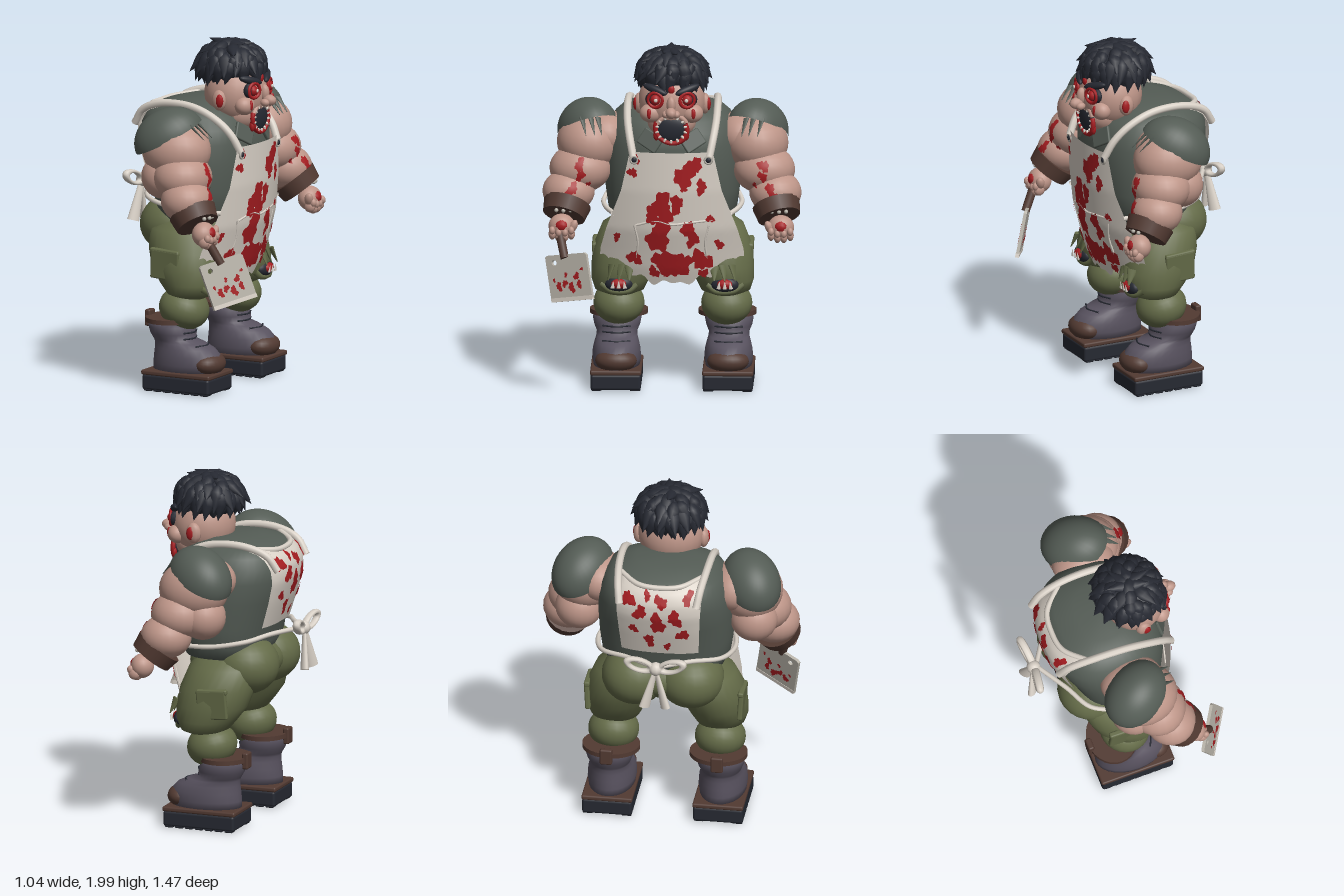
import * as THREE from 'three';
import { RoundedBoxGeometry } from 'three/addons/geometries/RoundedBoxGeometry.js';

const V = (x, y, z) => new THREE.Vector3(x, y, z);
const mat = (name, color, side = THREE.FrontSide) => Object.assign(new THREE.MeshStandardMaterial({ color, side }), { name });
let seed = 7;
const rnd = () => (seed = (seed * 16807) % 2147483647) / 2147483647;

// table lookup: rows are [y, ...values] with y rising
function lerpRows(rows, y) {
  let i = 0;
  while (i < rows.length - 2 && y > rows[i + 1][0]) i++;
  const t = THREE.MathUtils.clamp((y - rows[i][0]) / (rows[i + 1][0] - rows[i][0]), 0, 1);
  return rows[i].map((v, k) => v + (rows[i + 1][k] - v) * t);
}
function finish(p, idx) {
  const g = new THREE.BufferGeometry();
  g.setAttribute('position', new THREE.Float32BufferAttribute(p, 3));
  g.setIndex(idx);
  g.computeVertexNormals();
  return g;
}
// closed body from sections [y, centreX, radiusX, zBack, zFront]; e < 1 squares the ellipse
function loft(rows, seg = 28, e = 1) {
  const p = [], idx = [], n = rows.length, pow = c => Math.sign(c) * Math.abs(c) ** e;
  for (const [y, cx, rx, z0, z1] of rows)
    for (let j = 0; j < seg; j++) {
      const a = j / seg * Math.PI * 2;
      p.push(cx + rx * pow(Math.cos(a)), y, (z0 + z1) / 2 + (z1 - z0) / 2 * pow(Math.sin(a)));
    }
  for (const r of [rows[0], rows[n - 1]]) p.push(r[1], r[0], (r[3] + r[4]) / 2);
  for (let j = 0; j < seg; j++) {
    const k = (j + 1) % seg, top = (n - 1) * seg;
    for (let i = 0; i < n - 1; i++) {
      const a = i * seg + j, b = i * seg + k;
      idx.push(a, a + seg, b, b, a + seg, b + seg);
    }
    idx.push(n * seg, j, k, n * seg + 1, top + k, top + j);
  }
  return finish(p, idx);
}
// grid sheet: fn(u, v) gives a point
function sheet(fn, nu, nv) {
  const p = [], idx = [], w = nu + 1;
  for (let j = 0; j <= nv; j++) for (let i = 0; i <= nu; i++) p.push(...fn(i / nu, j / nv));
  for (let j = 0; j < nv; j++) for (let i = 0; i < nu; i++) {
    const a = j * w + i;
    idx.push(a, a + w, a + 1, a + 1, a + w, a + w + 1);
  }
  return finish(p, idx);
}
// irregular stain laid on the surface z = surf(x, y)
function stain(x, y, r, surf, n = 24) {
  const p = [x, y, surf(x, y)], idx = [], f = [rnd() * 6, rnd() * 6, rnd() * 6];
  for (let k = 1; k <= 3; k++) for (let i = 0; i < n; i++) {
    const a = i / n * Math.PI * 2, wob = 0.86 + 0.2 * Math.sin(2 * a + f[0]) + 0.16 * Math.sin(3 * a + f[1]) + 0.13 * Math.sin(7 * a + f[2]);
    const px = x + Math.cos(a) * r * wob * k / 3 * 0.92, py = y + Math.sin(a) * r * wob * k / 3 * 1.12;
    p.push(px, py, surf(px, py));
  }
  for (let i = 0; i < n; i++) {
    const j = (i + 1) % n;
    idx.push(0, 1 + i, 1 + j);
    for (let k = 0; k < 2; k++) {
      const a = 1 + k * n + i, b = 1 + k * n + j;
      idx.push(a, a + n, b, b, a + n, b + n);
    }
  }
  return finish(p, idx);
}

export function createModel() {
  const skin = mat('skin', 0xbd9588), shirt = mat('shirt', 0x545c55), cloth = mat('apron cloth', 0xd9d1c7, THREE.DoubleSide),
    red = mat('blood red', 0xa51c20, THREE.DoubleSide), black = mat('hair black', 0x262932), pants = mat('pants olive', 0x646b48),
    leather = mat('boot leather', 0x57515e), brown = mat('brown leather', 0x523a32), steel = mat('steel', 0xb9b4aa);
  const root = new THREE.Group(), body = new THREE.Group();
  root.name = 'butcher'; body.name = 'body';
  root.add(body);
  body.rotation.y = Math.PI / 2;

  const add = (name, geo, m, pos = [0, 0, 0], rot = [0, 0, 0], scale = [1, 1, 1]) => {
    const o = new THREE.Mesh(geo, m);
    o.name = name;
    o.position.set(...pos); o.rotation.set(...rot); o.scale.set(...scale);
    body.add(o);
    return o;
  };
  const unit = new THREE.SphereGeometry(1, 24, 16), small = new THREE.SphereGeometry(1, 10, 8);
  const ball = (name, m, pos, r, rot) => add(name, Math.max(...r) > 0.06 ? unit : small, m, pos, rot, r);
  const tube = (name, m, pts, r) => add(name, new THREE.TubeGeometry(new THREE.CatmullRomCurve3(pts.map(q => V(...q))), pts.length * 6, r, 8), m);
  // cylinder or cone between two points
  const rod = (name, m, a, b, r0, r1 = r0, flat = 1) => {
    const d = V(...b).sub(V(...a));
    const o = add(name, new THREE.CylinderGeometry(r1, r0, d.length(), 20), m);
    o.position.copy(V(...a)).addScaledVector(d, 0.5);
    o.quaternion.setFromUnitVectors(V(0, 1, 0), d.normalize());
    o.scale.z = flat;
  };
  const stains = (name, list, surf) => list.forEach(q => add(name, stain(...q, surf), red));

  // torso
  const torso = [[0.97, 0, 0.33, -0.27, 0.2], [1.04, 0, 0.365, -0.29, 0.23], [1.15, 0, 0.38, -0.31, 0.26], [1.3, 0, 0.385, -0.36, 0.27],
    [1.42, 0, 0.38, -0.395, 0.27], [1.5, 0, 0.36, -0.395, 0.25], [1.56, 0, 0.33, -0.365, 0.21], [1.605, 0, 0.28, -0.31, 0.14], [1.635, 0, 0.17, -0.2, 0.06]];
  const square = 0.82;
  const torsoBack = (x, y) => {
    const [, , rx, a, b] = lerpRows(torso, y);
    return (a + b) / 2 - (b - a) / 2 * Math.max(0, 1 - Math.abs(x / rx) ** (2 / square)) ** (square / 2);
  };
  add('shirt torso', loft(torso, 48, square), shirt);
  rod('neck', skin, [0, 1.5, 0.1], [0, 1.64, 0.12], 0.15, 0.14);

  // apron front, with a ragged hem
  const apronRows = [[0.6, 0.4, 0.185], [0.72, 0.41, 0.225], [0.82, 0.405, 0.25], [0.95, 0.37, 0.285], [1.18, 0.285, 0.31], [1.41, 0.235, 0.315]];
  const apronZ = (x, y) => lerpRows(apronRows, y)[2] - 0.7 * x * x;
  const onApron = (x, y) => apronZ(x, y) + 0.006;
  add('apron front', sheet((u, v) => {
    const s = u * 2 - 1, hem = 0.63 + 0.15 * s * s + 0.012 * Math.sin(u * 47) + 0.012 * Math.sin(u * 29);
    const y = 1.41 + (hem - 1.41) * v, x = s * lerpRows(apronRows, y)[1];
    return [x, y, apronZ(x, y)];
  }, 48, 30), cloth);
  stains('apron stain', [[0.08, 1.28, 0.075], [0.13, 1.34, 0.05], [-0.22, 1.29, 0.03], [-0.2, 1.37, 0.025], [0.17, 1.21, 0.04], [-0.05, 1.09, 0.08], [-0.11, 1.04, 0.05],
    [0.03, 1.11, 0.05], [-0.07, 0.92, 0.09], [-0.06, 0.76, 0.06], [0.01, 0.74, 0.085], [0.07, 0.77, 0.05], [0.17, 0.77, 0.065], [0.1, 0.95, 0.055], [0.12, 0.89, 0.04],
    [-0.1, 0.7, 0.035], [-0.31, 0.9, 0.025], [-0.21, 0.78, 0.045], [0.27, 0.86, 0.03], [0.07, 1.2, 0.02], [0.22, 1.02, 0.025], [0.18, 0.69, 0.03]], onApron);
  const seam = (pts, r) => tube('apron seam', cloth, pts.map(([x, y]) => [x, y, apronZ(x, y)]), r);
  seam([[-0.2, 0.98], [-0.08, 1.01], [0, 0.99], [0.1, 1.0], [0.23, 1.01]], 0.007);
  for (const s of [-1, 1]) seam([[s * 0.21, 0.98], [s * 0.19, 0.88], [s * 0.2, 0.78]], 0.006);

  // apron back, top edge dipping between the straps
  const backZ = (x, y) => torsoBack(x, y) - 0.022;
  const backTop = x => 1.585 + 0.4 * x * x;
  add('apron back', sheet((u, v) => {
    const x = (u * 2 - 1) * (0.25 - 0.03 * v), y = backTop(x) + (1.15 - backTop(x)) * v;
    return [x, y, backZ(x, y)];
  }, 20, 16), cloth);
  tube('back top hem', cloth, [-0.24, -0.12, 0, 0.12, 0.24].map(x => [x, backTop(x), backZ(x, backTop(x))]), 0.016);
  stains('back stain', [[0, 1.38, 0.06], [0.1, 1.45, 0.045], [-0.1, 1.42, 0.05], [0.17, 1.52, 0.045], [-0.14, 1.3, 0.04], [0.05, 1.25, 0.04],
    [0.14, 1.33, 0.03], [-0.02, 1.52, 0.04], [-0.17, 1.54, 0.035], [-0.05, 1.21, 0.025], [0.06, 1.55, 0.025]], (x, y) => backZ(x, y) - 0.006);

  // waist bow
  ball('bow knot', cloth, [0, 1.12, -0.465], [0.04, 0.04, 0.04]);
  for (const s of [-1, 1]) {
    add('bow loop', new THREE.TorusGeometry(0.05, 0.016, 8, 20), cloth, [s * 0.092, 1.145, -0.475], [0, s * 0.15, s * 0.35], [1.45, 0.65, 1.4]);
    rod('bow tail', cloth, [0, 1.12, -0.47], [s * 0.06, 0.89, -0.495], 0.014, 0.036, 0.6);
  }

  // pointed hair lock, tip downwards
  const leaf = new THREE.LatheGeometry([[0, -1.15], [0.45, -0.6], [0.9, -0.05], [0.92, 0.35], [0.6, 0.75], [0, 0.95]].map(q => new THREE.Vector2(...q)), 10);

  for (const s of [-1, 1]) {
    // straps, buttons and waist ties
    tube('shoulder strap', cloth, [[s * 0.22, 1.49, -0.395], [s * 0.235, 1.575, -0.335], [s * 0.25, 1.625, -0.2], [s * 0.255, 1.62, 0.0], [s * 0.25, 1.555, 0.15], [s * 0.235, 1.475, 0.235], [s * 0.215, 1.38, 0.285]], 0.022);
    add('button ring', new THREE.TorusGeometry(0.02, 0.007, 8, 16), steel, [s * 0.21, 1.365, 0.29]);
    ball('button', black, [s * 0.21, 1.365, 0.29], [0.017, 0.017, 0.012]);
    tube('waist tie', cloth, [[s * 0.33, 1.04, 0.22], [s * 0.375, 1.05, 0.1], [s * 0.39, 1.06, -0.06], [s * 0.335, 1.09, -0.24], [s * 0.18, 1.11, -0.335], [0, 1.12, -0.45]], 0.014);
    add('collar', new RoundedBoxGeometry(0.13, 0.1, 0.02, 2, 0.008), shirt, [s * 0.12, 1.47, 0.255], [-0.35, s * 0.25, s * 0.6]);

    // sleeve cap over the outer shoulder, with torn strands
    add('sleeve', new THREE.SphereGeometry(1, 28, 14, 0, Math.PI * 2, 0, 1.5), shirt, [s * 0.48, 1.475, -0.025], [-0.55, s * -0.45, s * -0.25], [0.165, 0.175, 0.21]);
    for (const x of [0.42, 0.46, 0.51])
      rod('sleeve strand', shirt, [s * x, 1.57, 0.12], [s * (x - 0.025), 1.485, 0.2], 0.018, 0.002, 0.5);

    // arm
    ball('inner shoulder', skin, [s * 0.385, 1.45, -0.02], [0.14, 0.135, 0.18]);
    const arm = [[0.475, 1.41, 0.015, 0.18, 0.17, 0.2], [0.52, 1.27, 0.08, 0.175, 0.14, 0.165], [0.5, 1.26, -0.05, 0.135, 0.13, 0.13], [0.585, 1.15, 0.14, 0.148, 0.125, 0.145]];
    for (const [x, y, z, ...r] of arm) ball('arm', skin, [s * x, y, z], r);
    const armZ = (x, y) => Math.max(0, ...arm.map(([cx, cy, cz, a, b, c]) => cz + c * Math.sqrt(Math.max(0, 1 - ((s * x - cx) / a) ** 2 - ((y - cy) / b) ** 2)))) + 0.006;
    stains('arm stain', [[s * 0.52, 1.32, 0.035], [s * 0.515, 1.26, 0.03], [s * 0.56, 1.19, 0.035], [s * 0.59, 1.145, 0.028], [s * 0.47, 1.21, 0.015]], armZ);
    rod('cuff', brown, [s * 0.59, 1.09, 0.18], [s * 0.61, 1.025, 0.225], 0.137, 0.122);
    for (const x of [0.57, 0.61, 0.65]) ball('cuff stud', steel, [s * x, 1.07, 0.305 - Math.abs(x - 0.6) * 0.3], [0.012, 0.012, 0.012]);

    // hand
    ball('palm', skin, [s * 0.62, 0.975, 0.27], [0.075, 0.07, 0.065]);
    for (let i = 0; i < 4; i++) {
      const x = s * (0.565 + i * 0.036), y = 0.935 - (i % 3 ? 0.012 : 0);
      ball('finger', skin, [x, y, 0.3], [0.021, 0.032, 0.033]);
      ball('finger tip', skin, [x, y + 0.025, 0.322], [0.018, 0.024, 0.02]);
    }
    ball('thumb', skin, [s * 0.555, 0.98, 0.3], [0.024, 0.042, 0.026], [0.3, 0, s * 0.4]);
    ball('hand stain', red, [s * 0.62, 0.985, 0.305], [0.042, 0.038, 0.036]);

    // leg
    ball('buttock', pants, [s * 0.16, 0.92, -0.18], [0.19, 0.17, 0.19]);
    add('thigh', loft([[0.53, s * 0.3, 0.07, -0.06, 0.08], [0.56, s * 0.3, 0.14, -0.12, 0.15], [0.62, s * 0.295, 0.165, -0.17, 0.18], [0.7, s * 0.28, 0.18, -0.23, 0.185], [0.8, s * 0.255, 0.195, -0.26, 0.17], [0.92, s * 0.205, 0.195, -0.28, 0.13], [1.0, s * 0.15, 0.13, -0.22, 0.08]]), pants);
    ball('lower leg', pants, [s * 0.305, 0.47, -0.03], [0.145, 0.12, 0.145], [0.3, 0, 0]);
    add('leg pocket', new RoundedBoxGeometry(0.03, 0.17, 0.18, 2, 0.01), pants, [s * 0.438, 0.735, -0.08], [0.06, 0, s * -0.06]);
    add('pocket flap', new RoundedBoxGeometry(0.033, 0.03, 0.185, 2, 0.01), pants, [s * 0.44, 0.81, -0.08], [0.06, 0, s * -0.06]);

    // torn knee
    ball('knee hole', black, [s * 0.3, 0.615, 0.16], [0.078, 0.045, 0.035]);
    ball('knee wound', red, [s * 0.3, 0.62, 0.175], [0.05, 0.031, 0.032]);
    for (let i = -1; i <= 1; i++) {
      rod('knee thread', cloth, [s * 0.3 + i * 0.035, 0.6, 0.205], [s * 0.3 + i * 0.03, 0.64, 0.21], 0.012, 0.002, 0.5);
      rod('knee rag', pants, [s * 0.29 + i * 0.05, 0.73, 0.17], [s * 0.3 + i * 0.06, 0.645, 0.205], 0.032, 0.004, 0.4);
    }
    tube('knee fold', pants, [[s * 0.2, 0.61, 0.145], [s * 0.25, 0.575, 0.16], [s * 0.34, 0.575, 0.16], [s * 0.4, 0.61, 0.13]], 0.018);

    // boot
    const bx = s * 0.317;
    add('boot', loft([[0.11, bx, 0.13, -0.21, 0.2], [0.16, bx, 0.138, -0.21, 0.215], [0.21, bx, 0.135, -0.205, 0.205], [0.25, bx, 0.125, -0.2, 0.165], [0.28, bx, 0.115, -0.2, 0.1], [0.295, bx, 0.115, -0.205, 0.04], [0.33, bx, 0.13, -0.225, 0.04], [0.37, bx, 0.138, -0.235, 0.025], [0.395, bx, 0.125, -0.225, 0.01]]), leather);
    ball('toe cap', brown, [bx, 0.168, 0.14], [0.118, 0.066, 0.085]);
    for (let i = 0; i < 3; i++) tube('lace', black, [-0.08, 0, 0.08].map(x => [bx + x, 0.27 + i * 0.035, (x ? 0.0 : 0.03) + (i ? 0.012 : 0.09)]), 0.005);
    add('sole', new RoundedBoxGeometry(0.285, 0.09, 0.43, 2, 0.015), black, [bx, 0.053, -0.005]);
    add('welt', new RoundedBoxGeometry(0.29, 0.028, 0.44, 2, 0.01), brown, [bx, 0.108, -0.005]);
    for (let i = 0; i < 7; i++) for (const t of [-1, 1])
      add('tread', new RoundedBoxGeometry(0.06, 0.03, 0.05, 1, 0.008), black, [bx + t * 0.11, 0.016, -0.185 + i * 0.06]);
    add('boot strap', new THREE.CylinderGeometry(1, 1, 0.026, 28), brown, [bx - s * 0.01, 0.405, -0.11], [0, 0, 0], [0.165, 1, 0.142]);
    add('strap buckle', new RoundedBoxGeometry(0.07, 0.095, 0.035, 2, 0.01), brown, [bx, 0.4, -0.245]);

    // face, one side
    ball('ear', skin, [s * 0.185, 1.66, 0.13], [0.032, 0.06, 0.045]);
    ball('inner ear', red, [s * 0.206, 1.66, 0.142], [0.014, 0.038, 0.025]);
    ball('cheek', skin, [s * 0.115, 1.63, 0.255], [0.065, 0.055, 0.055]);
    ball('eye socket', black, [s * 0.09, 1.715, 0.277], [0.058, 0.048, 0.03]);
    add('eye rim', new THREE.TorusGeometry(0.042, 0.01, 8, 20), red, [s * 0.09, 1.715, 0.304], [0, s * 0.3, 0]);
    ball('eyeball', red, [s * 0.09, 1.715, 0.297], [0.031, 0.031, 0.027]);
    ball('pupil', cloth, [s * 0.087, 1.716, 0.323], [0.011, 0.011, 0.006]);
    ball('brow', black, [s * 0.092, 1.772, 0.282], [0.078, 0.023, 0.024], [0, s * 0.45, s * 0.28]);
    ball('nostril', skin, [s * 0.03, 1.64, 0.34], [0.022, 0.022, 0.028]);
    ball('tear stain', red, [s * 0.125, 1.635, 0.302], [0.014, 0.03, 0.012]);
    ball('mouth drip', red, [s * 0.084, 1.51, 0.288], [0.018, 0.032, 0.016]);
  }
  ball('hips', pants, [0, 0.92, -0.07], [0.35, 0.15, 0.26]);

  // head, nose and mouth
  ball('head', skin, [0, 1.68, 0.14], [0.19, 0.19, 0.18]);
  ball('jaw', skin, [0, 1.57, 0.18], [0.14, 0.11, 0.122]);
  ball('nose bridge', skin, [0, 1.69, 0.32], [0.026, 0.05, 0.03]);
  ball('nose', skin, [0, 1.65, 0.352], [0.032, 0.032, 0.042]);
  ball('brow stain', red, [0, 1.775, 0.3], [0.02, 0.025, 0.012]);
  add('lower lip', new THREE.TorusGeometry(0.084, 0.014, 10, 28, 4.0), red, [0, 1.545, 0.293], [0, 0, -0.43 - Math.PI], [1.08, 0.95, 1]);
  add('upper lip', new THREE.TorusGeometry(0.084, 0.014, 10, 20, 2.3), skin, [0, 1.545, 0.293], [0, 0, 0.42], [1.08, 0.92, 1]);
  ball('mouth cavity', black, [0, 1.545, 0.285], [0.088, 0.075, 0.024]);
  for (let i = 0; i < 14; i++) {
    const a = i / 14 * Math.PI * 2 + 0.22, c = Math.cos(a), q = Math.sin(a);
    rod('tooth', cloth, [c * 0.088, 1.545 + q * 0.076, 0.298], [c * 0.074, 1.545 + q * 0.062, 0.304], 0.01, 0.006);
  }

  // hair: cap plus rings of overlapping locks with lifted tips
  const hc = V(0, 1.84, 0.105), hr = V(0.182, 0.118, 0.18);
  ball('hair cap', black, hc.toArray(), [0.19, 0.12, 0.19]);
  [[0.25, 6], [0.65, 9], [1.0, 13], [1.35, 15], [1.7, 17], [2.1, 19]].forEach(([phi, count], ring) => {
    for (let i = 0; i < count; i++) {
      const a = (i + ring * 0.5 + rnd() * 0.4) / count * Math.PI * 2, sp = Math.sin(Math.min(phi, 1.6)), cp = Math.cos(phi);
      const n = V(sp * Math.cos(a), cp, sp * Math.sin(a)).normalize();
      const side = V(-Math.sin(a), 0, Math.cos(a)), up = side.clone().cross(n);
      const lock = add('hair lock', leaf, black, [0, 0, 0], [0, 0, 0], [0.044, 0.066 + rnd() * 0.018, 0.032]);
      lock.position.copy(n).multiply(hr).add(hc);
      if (ring === 5) lock.position.y += Math.sin(a) > 0.5 ? 0.055 : 0.025;
      lock.quaternion.setFromRotationMatrix(new THREE.Matrix4().makeBasis(side, up, side.clone().cross(up)));
      lock.rotateX(0.1 + rnd() * 0.4);
      lock.rotateZ((rnd() - 0.5) * 0.6);
    }
  });

  // cleaver in the right hand: blade drawn in a unit square, then set in place
  const u = V(0.235, 0.055, 0.145), v = V(0.04, -0.245, 0.075), w = u.clone().cross(v).normalize();
  const place = new THREE.Matrix4().makeBasis(u, v, w).setPosition(-0.715, 0.805, 0.295);
  const blade = new THREE.Shape([[0, 0.04], [0.05, 0], [0.96, 0], [1, 0.05], [1, 1], [0, 1]].map(q => new THREE.Vector2(...q)));
  blade.holes.push(new THREE.Path().absarc(0.2, 0.17, 0.06, 0, Math.PI * 2, true));
  add('cleaver blade', new THREE.ExtrudeGeometry(blade, { depth: 0.018, bevelEnabled: false }).applyMatrix4(place), steel);
  add('cleaver edge', new THREE.BoxGeometry(1, 0.09, 0.022).translate(0.5, 0.985, 0.009).applyMatrix4(place), cloth);
  for (const z of [-0.004, 0.022])
    for (const q of [[0.25, 0.7, 0.09], [0.4, 0.64, 0.08], [0.55, 0.74, 0.1], [0.7, 0.5, 0.08], [0.74, 0.68, 0.08], [0.45, 0.45, 0.05], [0.85, 0.35, 0.04], [0.15, 0.55, 0.04]])
      add('blade stain', stain(...q, () => z).applyMatrix4(place), red);
  rod('cleaver handle', brown, [-0.645, 1.0, 0.27], [-0.6, 0.81, 0.37], 0.026, 0.024);
  return root;
}
